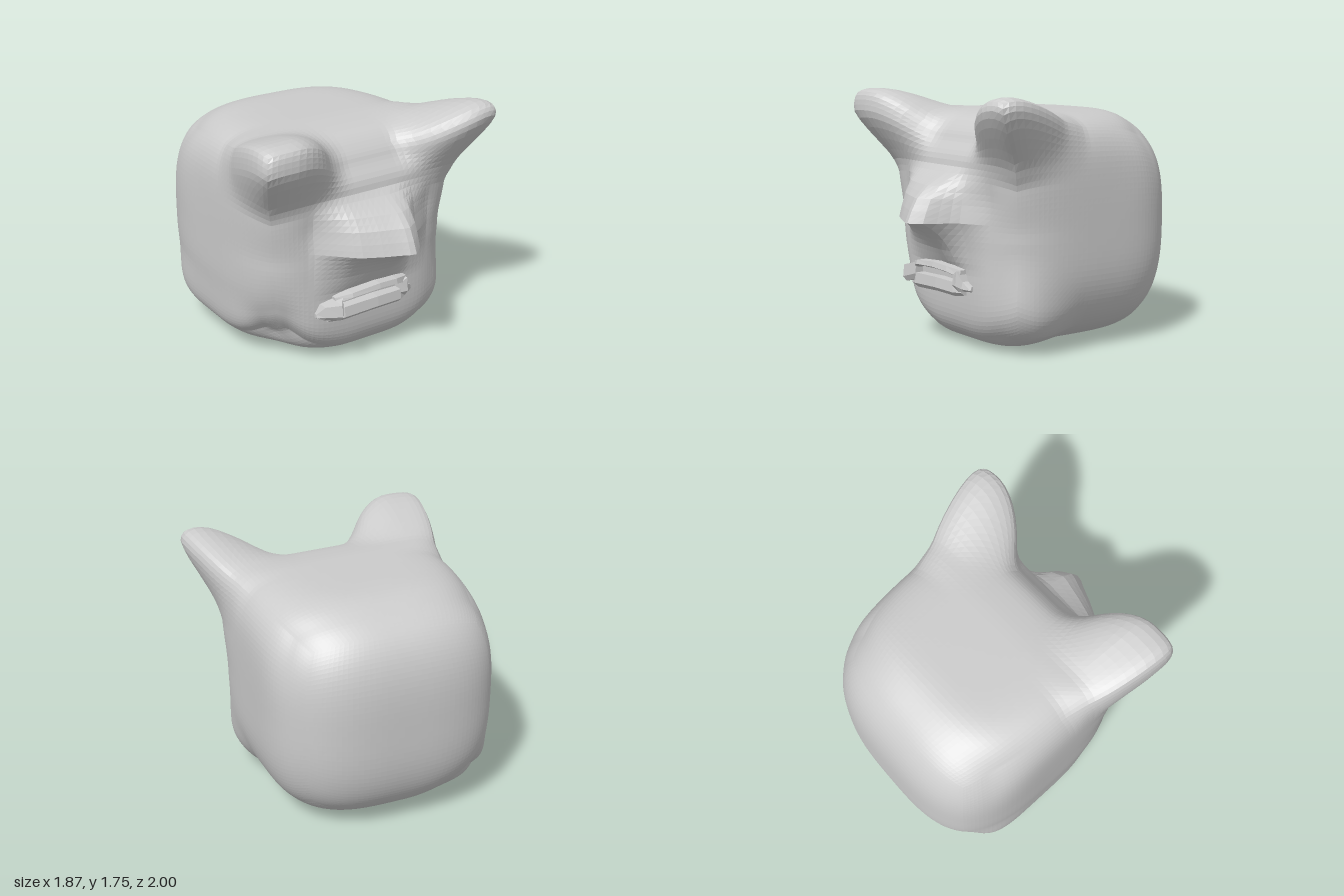
import * as THREE from 'three';

const { smoothstep: ss, lerp } = THREE.MathUtils;

// Piecewise-linear profile through [position, value] pairs in rising order
function profile(pts, t) {
  if (t <= pts[0][0]) return pts[0][1];
  for (let i = 1; i < pts.length; i++) {
    const [a, va] = pts[i - 1], [b, vb] = pts[i];
    if (t <= b) return lerp(va, vb, (t - a) / (b - a));
  }
  return pts[pts.length - 1][1];
}

const NOSE_SIDE = [[0.56, 0], [0.62, 0.04], [0.7, 0.09], [0.77, 0.15], [0.85, 0.25], [0.9, 0.365],
  [0.98, 0.33], [1.07, 0.28], [1.16, 0.18], [1.21, 0.07], [1.27, 0]];
const NOSE_TOP = [[-0.48, 0], [-0.35, 0.32], [-0.25, 0.57], [-0.1, 0.77], [0, 0.88], [0.09, 1],
  [0.19, 0.77], [0.24, 0.45], [0.3, 0.24], [0.48, 0]];

// Roundness exponent of the head: low is ball-like, high is box-like
function roundness(u, v, s) {
  const au = Math.abs(u);
  let p = lerp(3.2, 3.8, ss(s, -0.6, 0.6)) + 1.6 * ss(v, 0, 0.7) * ss(s, -0.7, 0.2);
  p = lerp(p, 3.1, ss(-v, 0, 0.6));
  // chin
  p += 2.8 * ss(-v, 0.1, 0.8) * ss(s, 0.2, 0.8) * (1 - 0.45 * ss(u, 0.3, 0.8)) * (1 - ss(-u, 0.1, 0.9));
  // lower right edge
  p += 2.4 * ss(-u, 0.3, 0.9) * ss(-v, 0.3, 0.9) * (1 - ss(Math.abs(s + 0.1), 0.2, 0.9));
  // brow edge and ears
  p += ss(v, 0.45, 0.9) * ss(s, 0.2, 0.8) * (2 + 9 * ss(au, 0.35, 0.8));
  return p;
}

// Maps a point of the cube (-1..1) onto the sculpted head
function sculpt(c) {
  const { x: u, y: v, z: s } = c;
  const left = u > 0;
  const e = roundness(u, v, s);
  c.divideScalar((Math.abs(u) ** e + Math.abs(v) ** e + Math.abs(s) ** e) ** (1 / e));
  c.set(c.x * 0.825 - 0.025, c.y * 0.812 + 0.822, c.z * 0.825 - 0.175);

  // slight lean of the back and the underside
  c.z += 0.05 * ss(-s, 0.2, 1) * (u + 0.4) * 0.7;
  c.y += 0.05 * ss(-v, 0.4, 1) * ss(-u, 0.1, 1);

  const { x, y } = c;
  const ax = Math.abs(x);
  const front = ss(s, 0.55, 1);

  // ears: the two upper front corners pulled out, up and forward
  const H = ss(ax, left ? 0.22 : 0.14, 0.66);
  const V = left ? ss(y, 1.27, 1.56) : ss(y, 1.24, 1.47);
  c.z += 0.2 * H * V * front;
  c.x += (left ? 0.15 : -0.11) * ss(ax, 0.4, 0.8) * V * ss(s, 0.4, 0.95);
  const rise = left ? ss(ax, 0.35, 0.72) : ss(ax, 0.2, 0.62);
  c.y += 0.14 * rise * V * ss(s, 0.45, 0.92);

  // hollow brow between the ears
  c.z -= 0.07 * (1 - H) * ss(y, 1.28, 1.5) * front;
  c.y -= 0.05 * (1 - H) * ss(y, 1.3, 1.55) * ss(s, 0.3, 1);

  // eye sockets and nose
  c.z -= 0.02 * front * Math.exp(-(((ax - 0.42) / 0.14) ** 2) - ((y - 1.06) / 0.13) ** 2);
  c.z += front * profile(NOSE_SIDE, y) * profile(NOSE_TOP, x);
  return c;
}

function headGeometry() {
  const g = new THREE.BoxGeometry(2, 2, 2, 40, 40, 40);
  const pos = g.attributes.position;
  const p = new THREE.Vector3();
  for (let i = 0; i < pos.count; i++) {
    sculpt(p.fromBufferAttribute(pos, i));
    pos.setXYZ(i, p.x, p.y, p.z);
  }
  g.computeVertexNormals();
  return g;
}

// Bar lofted along x; each station is [x, bottom, top, front z]
function barGeometry(stations, back = 0.56) {
  const verts = [], idx = [];
  for (const [x, b, t, z] of stations) {
    verts.push(x, b, back, x, b, z - 0.03, x, lerp(b, t, 0.3), z, x, t, z - 0.01, x, t, back);
  }
  const n = 5, last = (stations.length - 1) * n;
  for (let i = 0; i < stations.length - 1; i++) {
    for (let j = 0; j < n; j++) {
      const a = i * n + j, b = i * n + (j + 1) % n;
      idx.push(a, a + n, b, b, a + n, b + n);
    }
  }
  for (let j = 1; j < n - 1; j++) idx.push(0, j, j + 1, last, last + j + 1, last + j);
  const g = new THREE.BufferGeometry();
  g.setAttribute('position', new THREE.Float32BufferAttribute(verts, 3));
  g.setIndex(idx);
  g.computeVertexNormals();
  return g;
}

export function createModel() {
  const model = new THREE.Group();
  model.name = 'head';
  const material = new THREE.MeshStandardMaterial({
    color: 0xcccccc, flatShading: true, side: THREE.DoubleSide,
  });
  const add = (name, geometry) => {
    const mesh = new THREE.Mesh(geometry, material);
    mesh.name = name;
    model.add(mesh);
  };

  add('skull', headGeometry());

  // mouth: two lips joined by a block at each corner
  add('upperLip', barGeometry([[-0.33, 0.5, 0.56, 0.69], [-0.22, 0.545, 0.585, 0.74],
    [0, 0.555, 0.605, 0.75], [0.15, 0.545, 0.595, 0.74], [0.26, 0.51, 0.575, 0.7]]));
  add('lowerLip', barGeometry([[-0.37, 0.375, 0.45, 0.68], [-0.27, 0.38, 0.485, 0.72],
    [0, 0.395, 0.495, 0.73], [0.2, 0.39, 0.49, 0.72], [0.26, 0.4, 0.47, 0.69]]));
  add('rightMouthCorner', barGeometry([[-0.455, 0.42, 0.45, 0.65], [-0.42, 0.415, 0.52, 0.71],
    [-0.33, 0.42, 0.54, 0.78], [-0.28, 0.44, 0.56, 0.71]]));
  add('leftMouthCorner', barGeometry([[0.2, 0.44, 0.54, 0.72], [0.25, 0.43, 0.57, 0.73],
    [0.28, 0.43, 0.5, 0.7], [0.33, 0.43, 0.47, 0.66]]));

  return model;
}
